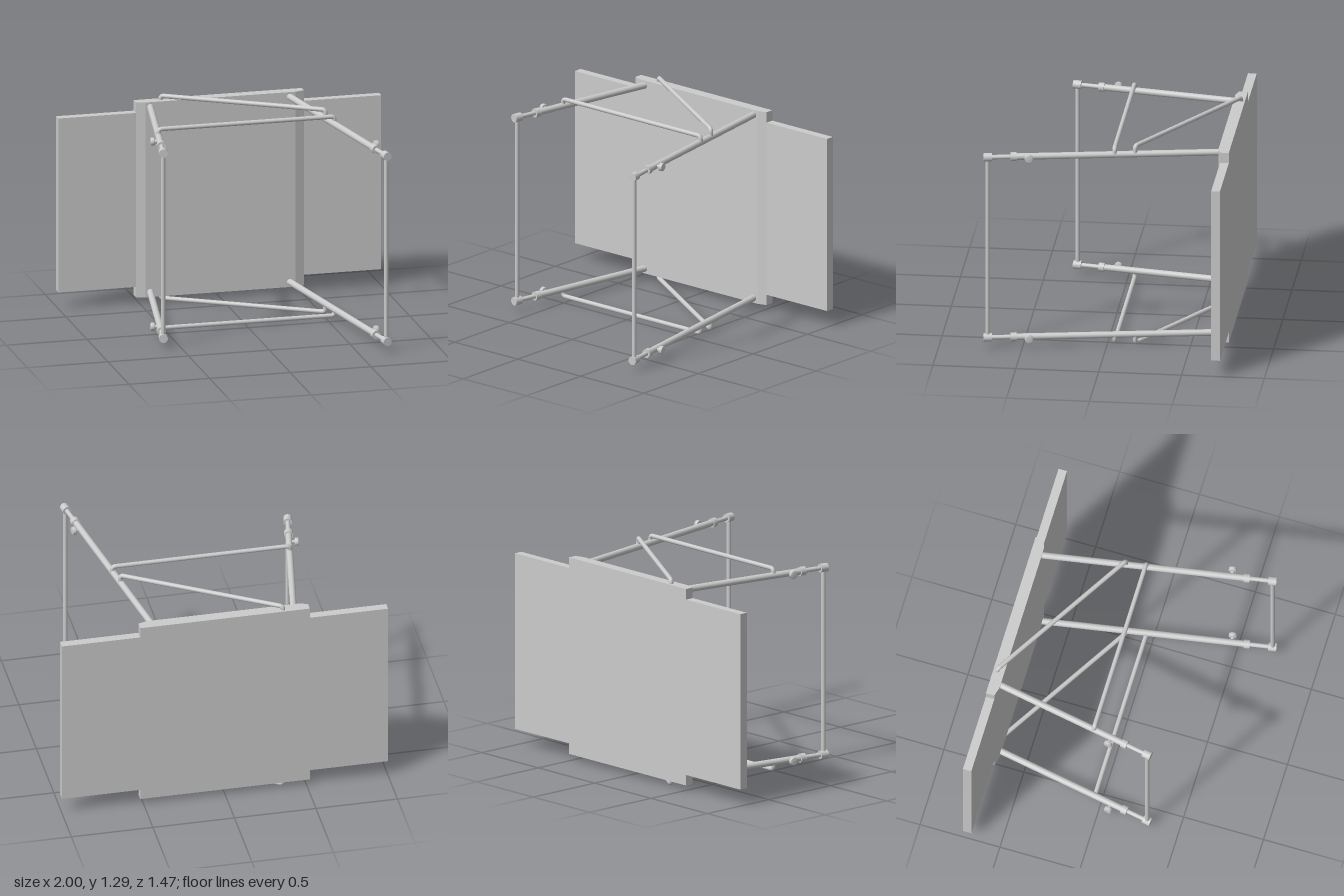
import * as THREE from 'three';

const MID = 0.645;      // height of the mirror plane
const LEG = 0.578;      // leg offset from the mirror plane
const mat = new THREE.MeshStandardMaterial({ color: 0xcccccc });
const UP = new THREE.Vector3(0, 1, 0);
const v = (x, y, z) => new THREE.Vector3(x, y, z);

function add(parent, name, geometry) {
  const mesh = new THREE.Mesh(geometry, mat);
  mesh.name = name;
  parent.add(mesh);
  return mesh;
}

// Straight cylinder between two points
function rod(parent, name, a, b, r, sides = 24) {
  const d = b.clone().sub(a);
  const mesh = add(parent, name, new THREE.CylinderGeometry(r, r, d.length(), sides));
  mesh.position.copy(a).lerp(b, 0.5);
  mesh.quaternion.setFromUnitVectors(UP, d.normalize());
  return mesh;
}

// Brace rod whose two ends bend inwards towards the mirror plane
function bentRod(parent, name, a, b, yOut, yIn, r) {
  const bend = 0.022 * Math.sign(yOut);
  const dir = b.clone().sub(a).normalize().multiplyScalar(Math.abs(bend));
  const at = (p, y) => v(p.x, MID + y, p.z);
  const A = at(a, yOut), B = at(b, yOut);
  const a1 = at(a, yOut - bend), b1 = at(b, yOut - bend);
  const a2 = A.clone().add(dir), b2 = B.clone().sub(dir);
  const path = new THREE.CurvePath();
  path.add(new THREE.LineCurve3(at(a, yIn), a1));
  path.add(new THREE.QuadraticBezierCurve3(a1, A, a2));
  path.add(new THREE.LineCurve3(a2, b2));
  path.add(new THREE.QuadraticBezierCurve3(b2, B, b1));
  path.add(new THREE.LineCurve3(b1, at(b, yIn)));
  add(parent, name, new THREE.TubeGeometry(path, 160, r, 16));
}

// Telescopic leg: outer tube, inner tube, collar, end cap and clamp knob
function leg(parent, top, foot, y, knobZ, collarZ) {
  const g = new THREE.Group();
  g.name = 'leg';
  parent.add(g);
  const a = v(top[0], y, top[1]), b = v(foot[0], y, foot[1]);
  const dir = b.clone().sub(a).normalize();
  const onAxis = (z, along = 0) =>
    a.clone().lerp(b, (z - a.z) / (b.z - a.z)).addScaledVector(dir, along);
  rod(g, 'outerTube', a, onAxis(collarZ), 0.02);
  rod(g, 'innerTube', onAxis(collarZ), b, 0.0135);
  rod(g, 'collar', onAxis(collarZ, -0.018), onAxis(collarZ, 0.018), 0.027);
  rod(g, 'endCap', onAxis(b.z, -0.026), onAxis(b.z, 0.024), 0.026);
  // The knob stands square to the leg, on its outer side
  const out = v(dir.z, 0, -dir.x).multiplyScalar(Math.sign(top[0]));
  const k = onAxis(knobZ);
  const p = (d) => k.clone().addScaledVector(out, d);
  rod(g, 'knobStem', p(0), p(0.034), 0.011);
  const h = 0.013, r = 0.025;
  const profile = [[0, -h], [r - 0.004, -h], [r, -h + 0.004], [r, h - 0.004], [r - 0.004, h], [0, h]];
  const knob = add(g, 'knob', new THREE.LatheGeometry(profile.map(([x, yy]) => new THREE.Vector2(x, yy)), 24));
  knob.position.copy(p(0.045));
  knob.quaternion.setFromUnitVectors(UP, out);
}

export function createModel() {
  const model = new THREE.Group();
  model.name = 'foldingTable';

  // Table top: two end panels and a thicker middle section with bevelled ends
  for (const s of [-1, 1]) {
    const panel = add(model, 'endPanel', new THREE.BoxGeometry(0.48, 1.086, 0.053));
    panel.position.set(s * 0.76, MID, -0.7055);
  }
  const section = new THREE.Shape([
    [-0.52, 0.732], [-0.52, 0.679], [-0.465, 0.663], [0.465, 0.663], [0.52, 0.679], [0.52, 0.732],
  ].map(([x, y]) => new THREE.Vector2(x, y)));
  const middle = add(model, 'middlePanel',
    new THREE.ExtrudeGeometry(section, { depth: 1.217, bevelEnabled: false }).rotateX(-Math.PI / 2));
  middle.position.y = MID - 0.6085;

  // Leg frames and braces, mirrored about the middle height
  const shortFoot = [-0.607, 0.305], longFoot = [0.67, 0.707];
  for (const s of [-1, 1]) {
    const y = MID + s * LEG;
    leg(model, [-0.433, -0.67], shortFoot, y, 0.067, 0.155);
    leg(model, [0.43, -0.67], longFoot, y, 0.465, 0.553);
    bentRod(model, 'crossBrace', v(-0.545, 0, -0.046), v(0.545, 0, -0.046), s * 0.621, s * LEG, 0.0135);
    bentRod(model, 'diagonalBrace', v(-0.36, 0, -0.708), v(0.521, 0, -0.167), s * 0.631, s * LEG, 0.014);
  }

  // Foot bars joining each pair of legs
  for (const [x, z] of [shortFoot, longFoot]) {
    rod(model, 'footBar', v(x, MID - LEG, z), v(x, MID + LEG, z), 0.0135);
  }
  return model;
}
